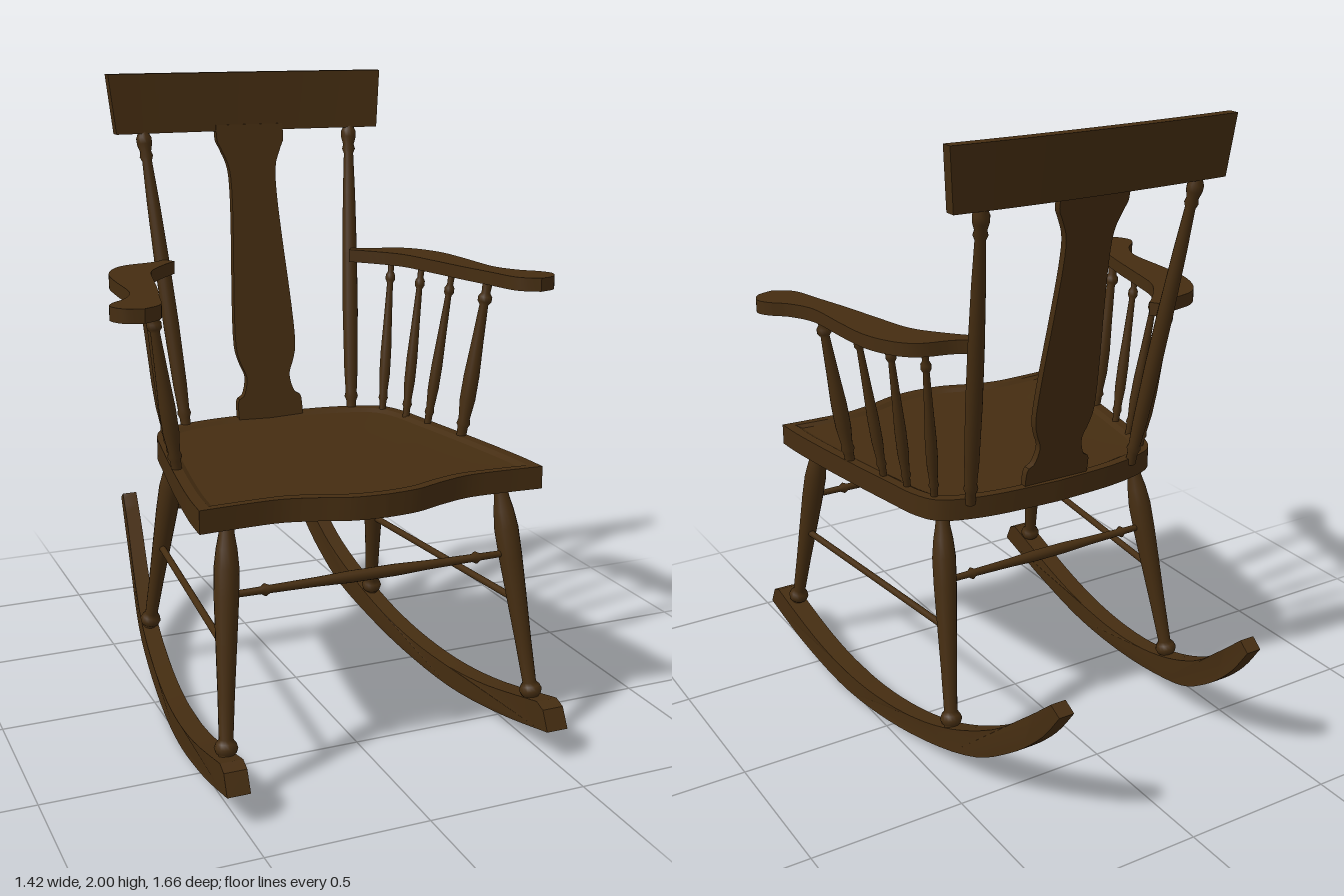
import * as THREE from 'three';
import { toCreasedNormals } from 'three/addons/utils/BufferGeometryUtils.js';

const wood = new THREE.MeshStandardMaterial({ color: 0x452d11 });
wood.name = 'dark wood';

const V = (x, y, z) => new THREE.Vector3(x, y, z);
const vec2 = (list) => list.map(([a, b]) => new THREE.Vector2(a, b));

function part(name, geometry) {
  const mesh = new THREE.Mesh(geometry, wood);
  mesh.name = name;
  return mesh;
}

// Move every vertex by a rule
function warp(geometry, rule) {
  const p = geometry.attributes.position;
  const v = V(0, 0, 0);
  for (let i = 0; i < p.count; i++) {
    v.fromBufferAttribute(p, i);
    rule(v);
    p.setXYZ(i, v.x, v.y, v.z);
  }
  return toCreasedNormals(geometry, 0.6);
}

// Turned piece between two points; profile rows are [fraction of length, radius]
function turned(name, a, b, profile) {
  const length = a.distanceTo(b);
  const mesh = part(name, new THREE.LatheGeometry(vec2(profile.map(([t, r]) => [r, t * length])), 16));
  mesh.position.copy(a);
  mesh.quaternion.setFromUnitVectors(V(0, 1, 0), b.clone().sub(a).normalize());
  return mesh;
}

const legProfile = [[0, 0.022], [0.05, 0.022], [0.06, 0.03], [0.08, 0.035], [0.1, 0.03], [0.115, 0.021],
  [0.3, 0.025], [0.5, 0.031], [0.68, 0.036], [0.8, 0.037], [0.88, 0.031], [0.94, 0.023], [1, 0.021]];
const postProfile = [[0, 0.017], [0.04, 0.017], [0.055, 0.023], [0.07, 0.019], [0.15, 0.023], [0.35, 0.026],
  [0.55, 0.025], [0.75, 0.021], [0.89, 0.016], [0.905, 0.022], [0.92, 0.018], [0.945, 0.025], [0.965, 0.025], [0.98, 0.018], [1, 0.017]];
const spindleProfile = [[0, 0.011], [0.08, 0.012], [0.1, 0.016], [0.13, 0.013], [0.25, 0.018], [0.4, 0.018],
  [0.6, 0.014], [0.84, 0.01], [0.86, 0.016], [0.89, 0.016], [0.91, 0.01], [1, 0.012]];
const stretcherProfile = [[0, 0.01], [0.11, 0.011], [0.125, 0.019], [0.14, 0.012], [0.3, 0.014], [0.42, 0.018],
  [0.58, 0.018], [0.7, 0.014], [0.86, 0.012], [0.875, 0.019], [0.89, 0.011], [1, 0.01]];

// Seat: rings of one outline, scaled inward to form the shallow dish
function seat() {
  const shape = new THREE.Shape();
  shape.moveTo(0, 0.695);
  shape.splineThru(vec2([[0.1, 0.685], [0.2, 0.65], [0.3, 0.625], [0.42, 0.625], [0.545, 0.632]]));
  shape.splineThru(vec2([[0.535, 0.5], [0.503, 0.27], [0.458, 0], [0.437, -0.11], [0.4, -0.185], [0.33, -0.223], [0.2, -0.25], [0, -0.262]]));
  const half = shape.getPoints(5);
  const outline = half.concat(half.slice(1, -1).reverse().map((p) => new THREE.Vector2(-p.x, p.y)));
  const rings = [[0.001, 0.8], [1, 0.8], [1, 0.87], [0.935, 0.87], [0.9, 0.86], [0.001, 0.855]];
  const n = outline.length;
  const positions = [];
  const index = [];
  rings.forEach(([s, y], r) => outline.forEach((p, i) => {
    positions.push(p.x * s, y, 0.2 + (p.y - 0.2) * s);
    if (r === rings.length - 1) return;
    const a = r * n + i;
    const b = r * n + (i + 1) % n;
    index.push(a, b, b + n, a, b + n, a + n);
  }));
  const g = new THREE.BufferGeometry();
  g.setAttribute('position', new THREE.Float32BufferAttribute(positions, 3));
  g.setIndex(index);
  return part('seat', toCreasedNormals(g, 0.4));
}

// Rocker: side profile extruded, then swept inward toward the back
function rocker(side) {
  const shape = new THREE.Shape();
  shape.moveTo(-0.835, 0.1);
  shape.splineThru(vec2([[-0.56, 0.038], [-0.245, 0.001], [0.1, 0.025], [0.42, 0.1], [0.6, 0.2], [0.74, 0.32], [0.83, 0.437]]));
  shape.lineTo(0.79, 0.462);
  shape.splineThru(vec2([[0.68, 0.366], [0.525, 0.246], [0.31, 0.146], [0.074, 0.087], [-0.19, 0.069], [-0.456, 0.097], [-0.77, 0.173]]));
  shape.lineTo(-0.805, 0.16);
  const g = new THREE.ExtrudeGeometry(shape, { depth: 1, bevelEnabled: false, curveSegments: 4 });
  g.translate(0, 0, -0.5).rotateY(Math.PI / 2);
  const path = new THREE.SplineCurve(vec2([[-0.84, 0.34], [-0.29, 0.423], [0.26, 0.482], [0.84, 0.51]]));
  return part('rocker', warp(g, (v) => {
    const t = THREE.MathUtils.clamp((v.z + 0.84) / 1.68, 0, 1);
    v.x = v.x * (0.05 + 0.02 * t) + side * path.getPoint(t).y;
  }));
}

// Armrest: curved outline with a rounded hand grip
function armrest(side) {
  const outer = [[0.63, 0.445], [0.685, 0.425], [0.71, 0.375], [0.69, 0.33], [0.64, 0.28], [0.6, 0.19], [0.592, 0.02], [0.58, -0.11],
    [0.54, -0.21], [0.483, -0.265], [0.39, -0.29], [0.335, -0.32]];
  const inner = [[0.38, -0.21], [0.44, -0.12], [0.475, 0.02], [0.505, 0.155], [0.54, 0.29], [0.57, 0.4], [0.63, 0.445]];
  const flip = (list) => vec2(list.map(([x, z]) => [side * x, z]));
  const shape = new THREE.Shape();
  shape.moveTo(side * 0.63, 0.445);
  shape.splineThru(flip(outer.slice(1)));
  shape.lineTo(side * 0.312, -0.285);
  shape.splineThru(flip(inner));
  const g = new THREE.ExtrudeGeometry(shape, { depth: 0.042, bevelEnabled: false, curveSegments: 4 });
  g.rotateX(Math.PI / 2).translate(0, 1.407, 0);
  return part('armrest', toCreasedNormals(g, 0.6));
}

// Back splat: vase outline leaning backward
function splat() {
  const right = [[0.115, 0.86], [0.113, 0.925], [0.09, 0.945], [0.077, 1.0], [0.095, 1.05], [0.107, 1.11], [0.102, 1.25],
    [0.088, 1.45], [0.08, 1.6], [0.083, 1.69], [0.105, 1.75], [0.118, 1.78], [0.118, 1.83]];
  const shape = new THREE.Shape();
  shape.moveTo(-0.115, 0.86);
  shape.lineTo(0.115, 0.86);
  shape.splineThru(vec2(right.slice(1)));
  shape.lineTo(-0.118, 1.83);
  shape.splineThru(vec2(right.slice(0, -1).reverse().map(([x, y]) => [-x, y])));
  const g = new THREE.ExtrudeGeometry(shape, { depth: 0.025, bevelEnabled: false, curveSegments: 3 });
  return part('backSplat', warp(g, (v) => { v.z += -0.245 - (v.y - 0.87) * 0.2; }));
}

// Crest rail: bowed, leaning and slightly wider at the top
function crestRail() {
  const g = new THREE.BoxGeometry(0.96, 0.19, 0.038, 16, 1, 1);
  return part('crestRail', warp(g, (v) => {
    const up = (v.y + 0.095) / 0.19;
    v.z += -0.432 - 0.02 * up + 0.015 * (v.x / 0.48) ** 2;
    v.x *= 0.962 + 0.038 * up;
    v.y += 1.905;
  }));
}

export function createModel() {
  const chair = new THREE.Group();
  chair.name = 'rockingChair';
  chair.add(seat(), splat(), crestRail());

  // Bottom [x, y, z] and top [x, z] of each arm spindle, front one stoutest
  const spindles = [
    [0.48, 0.235, 0.555, 0.25, 1.4], [0.445, 0.065, 0.52, 0.075, 1],
    [0.42, -0.045, 0.49, -0.085, 1], [0.385, -0.155, 0.445, -0.225, 1]];

  for (const s of [-1, 1]) {
    chair.add(rocker(s), armrest(s));
    chair.add(turned('frontLeg', V(s * 0.502, 0.12, 0.705), V(s * 0.44, 0.81, 0.56), legProfile));
    chair.add(turned('rearLeg', V(s * 0.425, 0.11, -0.31), V(s * 0.36, 0.81, -0.155), legProfile));
    chair.add(turned('backPost', V(s * 0.3, 0.85, -0.225), V(s * 0.368, 1.83, -0.425), postProfile));
    chair.add(turned('sideStretcher', V(s * 0.474, 0.45, 0.635), V(s * 0.395, 0.45, -0.235), [[0, 0.011], [1, 0.011]]));
    for (const [x0, z0, x1, z1, k] of spindles) {
      chair.add(turned('armSpindle', V(s * x0, 0.855, z0), V(s * x1, 1.38, z1), spindleProfile.map(([t, r]) => [t, r * k])));
    }
  }

  // Turned cross stretchers between the leg pairs
  chair.add(turned('frontStretcher', V(-0.455, 0.597, 0.603), V(0.455, 0.597, 0.603), stretcherProfile));
  chair.add(turned('rearStretcher', V(-0.38, 0.597, -0.203), V(0.38, 0.597, -0.203), stretcherProfile));
  return chair;
}
